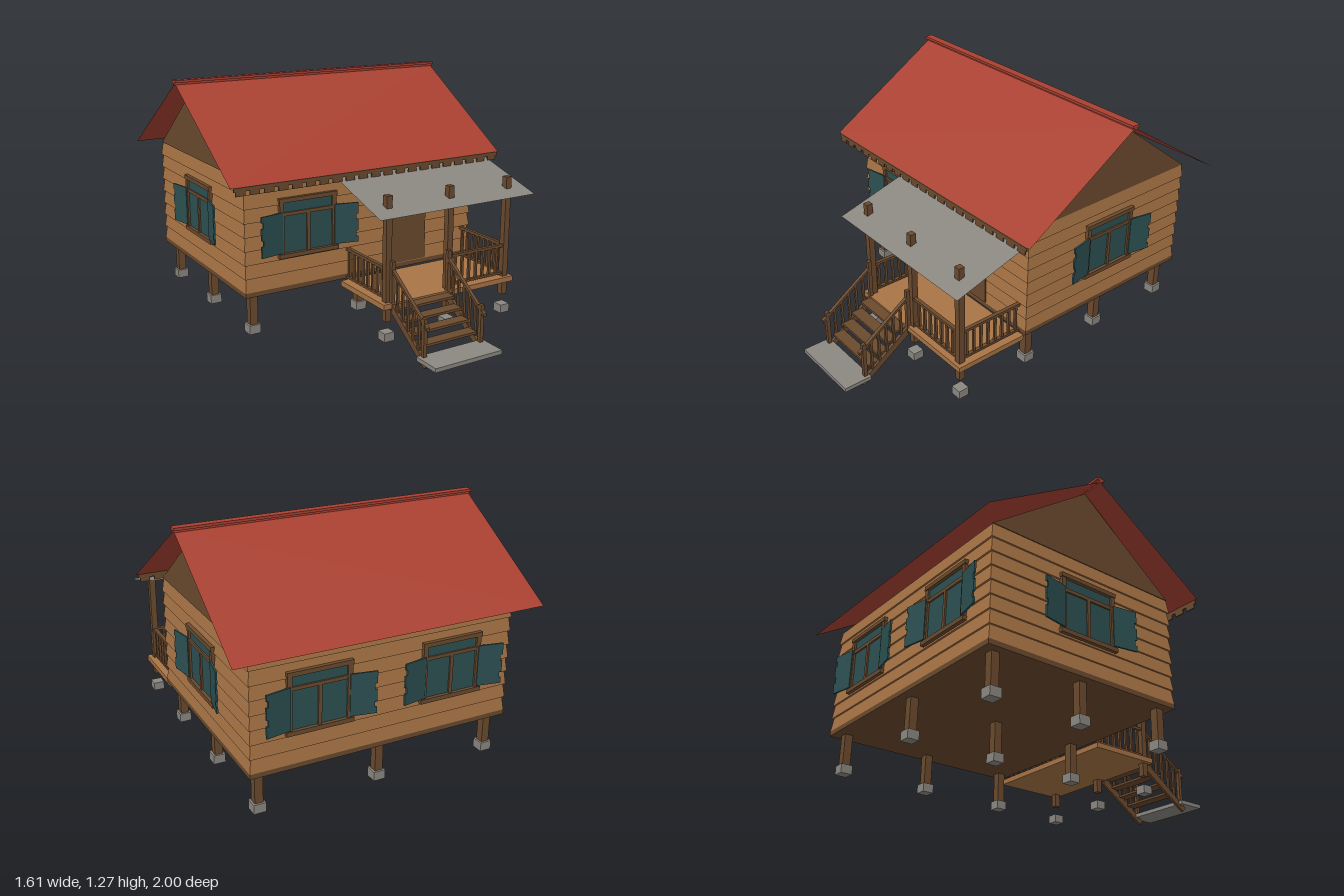
import * as THREE from 'three';

const mat = (name, color, extra = {}) => {
  const m = new THREE.MeshStandardMaterial({ color, ...extra });
  m.name = name;
  return m;
};

export function createModel() {
  const model = new THREE.Group();
  model.name = 'cabin';
  const wood = mat('light wood', 0xa87445);
  const dark = mat('dark wood', 0x6b4a2e);
  const red = mat('red roofing', 0xa84031, { side: THREE.DoubleSide });
  const grey = mat('concrete', 0x8c8882);
  const sheet = mat('grey sheet', 0x8a8680, { side: THREE.DoubleSide });
  const teal = mat('teal', 0x2d5052);

  // box given by its min and max on each axis
  const box = (parent, name, m, x0, x1, y0, y1, z0, z1) => {
    const mesh = new THREE.Mesh(new THREE.BoxGeometry(x1 - x0, y1 - y0, z1 - z0), m);
    mesh.position.set((x0 + x1) / 2, (y0 + y1) / 2, (z0 + z1) / 2);
    mesh.name = name;
    parent.add(mesh);
    return mesh;
  };
  const post = (parent, name, m, x, z, w, y0, y1) =>
    box(parent, name, m, x - w / 2, x + w / 2, y0, y1, z - w / 2, z + w / 2);
  const group = (name, parent = model) => {
    const g = new THREE.Group();
    g.name = name;
    parent.add(g);
    return g;
  };
  // sloping bar in the z-y plane, extruded along x
  const profile = (parent, name, m, points, x, w) => {
    const shape = new THREE.Shape(points.map(([z, y]) => new THREE.Vector2(-z, y)));
    const geo = new THREE.ExtrudeGeometry(shape, { depth: w, bevelEnabled: false });
    geo.rotateY(Math.PI / 2);
    const mesh = new THREE.Mesh(geo, m);
    mesh.position.x = x - w / 2;
    mesh.name = name;
    parent.add(mesh);
  };
  // thin sloping sheet between two edges parallel to x
  const slope = (parent, name, m, x0, x1, zTop, yTop, zLow, yLow) => {
    const geo = new THREE.PlaneGeometry(x1 - x0, 1);
    const p = geo.attributes.position;
    for (let i = 0; i < p.count; i++) {
      const top = p.getY(i) > 0;
      p.setXYZ(i, p.getX(i) + (x0 + x1) / 2, top ? yTop : yLow, top ? zTop : zLow);
    }
    geo.computeVertexNormals();
    const mesh = new THREE.Mesh(geo, m);
    mesh.name = name;
    parent.add(mesh);
  };

  // foundation piers
  const piers = group('piers');
  for (const x of [-0.63, 0, 0.63]) for (const z of [0.14, -0.35, -0.835]) {
    post(piers, 'pier', dark, x, z, 0.042, 0.08, 0.25);
    post(piers, 'footing', grey, x, z, 0.062, 0.035, 0.082);
  }

  // floor frame and lapped siding courses
  box(model, 'floor', dark, -0.692, 0.692, 0.245, 0.27, -0.902, 0.202);
  const walls = group('walls');
  const courses = 8, h = 0.57 / courses;
  for (let i = 0; i < courses; i++) {
    const b = box(walls, 'siding', wood, -0.692, 0.692, 0.27 + i * h, 0.27 + (i + 1) * h, -0.902, 0.202);
    const p = b.geometry.attributes.position;
    for (let v = 0; v < p.count; v++) if (p.getY(v) > 0) {
      p.setX(v, p.getX(v) - Math.sign(p.getX(v)) * 0.009);
      p.setZ(v, p.getZ(v) - Math.sign(p.getZ(v)) * 0.009);
    }
    b.geometry.computeVertexNormals();
  }

  // gables and main roof
  for (const x of [-0.683, 0.683])
    profile(model, 'gable', dark, [[0.195, 0.84], [-0.35, 1.245], [-0.895, 0.84]], x, 0.008);
  const roof = group('roof');
  slope(roof, 'frontSlope', red, -0.8, 0.8, -0.35, 1.25, 0.298, 0.84);
  slope(roof, 'backSlope', red, -0.8, 0.8, -0.35, 1.25, -0.998, 0.84);
  box(roof, 'ridgeCap', red, -0.806, 0.806, 1.255, 1.268, -0.372, -0.328);
  box(roof, 'ridgeBoard', red, -0.806, 0.806, 1.243, 1.255, -0.36, -0.34);

  // notched eave board
  const eave = group('eaveBoard');
  box(eave, 'board', dark, -0.785, 0.785, 0.82, 0.84, 0.298, 0.304);
  for (let i = 0; i < 21; i++) {
    const x = -0.75 + i * 0.075;
    box(eave, 'tooth', dark, x - 0.026, x + 0.026, 0.798, 0.82, 0.298, 0.304);
  }

  // window with ragged shutters, facing +z
  const addWindow = (x, z, turn) => {
    const w = group('window');
    w.position.set(x, 0, z);
    w.rotation.y = turn;
    box(w, 'glass', teal, -0.14, 0.14, 0.445, 0.705, -0.005, 0.002);
    for (const s of [-1, 1]) {
      const c = s * 0.15;
      box(w, 'jamb', dark, c - 0.012, c + 0.012, 0.43, 0.72, -0.01, 0.012);
      const hinge = group('shutter', w);
      hinge.position.set(s * 0.15, 0, 0.008);
      hinge.rotation.y = -s * 0.18;
      for (let i = 0; i < 7; i++) {
        const y = 0.45 + i * 0.03;
        const end = 0.118 + 0.013 * Math.abs(Math.sin(i * 2.1 + s));
        box(hinge, 'slat', teal, s > 0 ? 0 : -end, s > 0 ? end : 0, y, y + 0.03, 0, 0.009);
      }
    }
    box(w, 'head', dark, -0.165, 0.165, 0.708, 0.73, -0.01, 0.016);
    box(w, 'sill', dark, -0.17, 0.17, 0.422, 0.444, -0.01, 0.018);
    box(w, 'transom', dark, -0.14, 0.14, 0.638, 0.656, -0.005, 0.01);
    box(w, 'mullion', dark, -0.009, 0.009, 0.444, 0.64, -0.005, 0.01);
  };
  addWindow(-0.34, 0.202, 0);
  addWindow(0.35, -0.902, Math.PI);
  addWindow(-0.35, -0.902, Math.PI);
  addWindow(0.692, -0.35, Math.PI / 2);
  addWindow(-0.692, -0.35, -Math.PI / 2);

  // door
  box(model, 'door', dark, 0.142, 0.385, 0.275, 0.72, 0.2, 0.207);

  // porch deck, posts and roof
  const porch = group('porch');
  box(porch, 'deck', wood, -0.145, 0.675, 0.208, 0.236, 0.2, 0.605);
  for (const x of [-0.105, 0.265, 0.635]) {
    post(porch, 'porchPost', dark, x, 0.57, 0.033, 0.135, 0.777);
    post(porch, 'footing', grey, x, 0.57, 0.058, 0.035, 0.08);
  }
  slope(porch, 'porchRoof', sheet, -0.21, 0.74, 0.2, 0.83, 0.668, 0.69);

  // railings
  const rail = group('railings', porch);
  for (const [y0, y1] of [[0.248, 0.26], [0.398, 0.413]]) {
    box(rail, 'frontRail', dark, 0.28, 0.62, y0, y1, 0.56, 0.58);
    for (const x of [-0.105, 0.635]) box(rail, 'sideRail', dark, x - 0.01, x + 0.01, y0, y1, 0.2, 0.56);
  }
  for (let i = 0; i < 7; i++) post(rail, 'baluster', dark, 0.312 + i * 0.045, 0.57, 0.013, 0.255, 0.4);
  for (const x of [-0.105, 0.635])
    for (let i = 0; i < 8; i++) post(rail, 'baluster', dark, x, 0.222 + i * 0.044, 0.013, 0.255, 0.4);

  // steps
  const stairs = group('stairs');
  for (const x of [-0.09, 0.248]) {
    profile(stairs, 'stringer', dark, [[0.6, 0.235], [0.6, 0.185], [0.88, 0], [0.9, 0.022]], x, 0.016);
    profile(stairs, 'handrail', dark, [[0.6, 0.413], [0.6, 0.397], [0.895, 0.195], [0.895, 0.211]], x, 0.018);
    post(stairs, 'upperNewel', dark, x, 0.597, 0.02, 0.2, 0.45);
    post(stairs, 'lowerNewel', dark, x, 0.867, 0.02, 0.03, 0.25);
    for (let i = 1; i <= 5; i++) {
      const z = 0.597 + i * 0.045;
      post(stairs, 'baluster', dark, x, z, 0.012, 0.21 - (z - 0.6) * 0.7, 0.405 - (z - 0.6) * 0.685);
    }
  }
  for (let i = 0; i < 4; i++) {
    const y = 0.214 - i * 0.042, z = 0.6 + i * 0.06;
    box(stairs, 'tread', dark, -0.085, 0.243, y, y + 0.013, z, z + 0.064);
  }
  box(stairs, 'landing', grey, -0.12, 0.275, 0.035, 0.056, 0.848, 1);

  return model;
}
